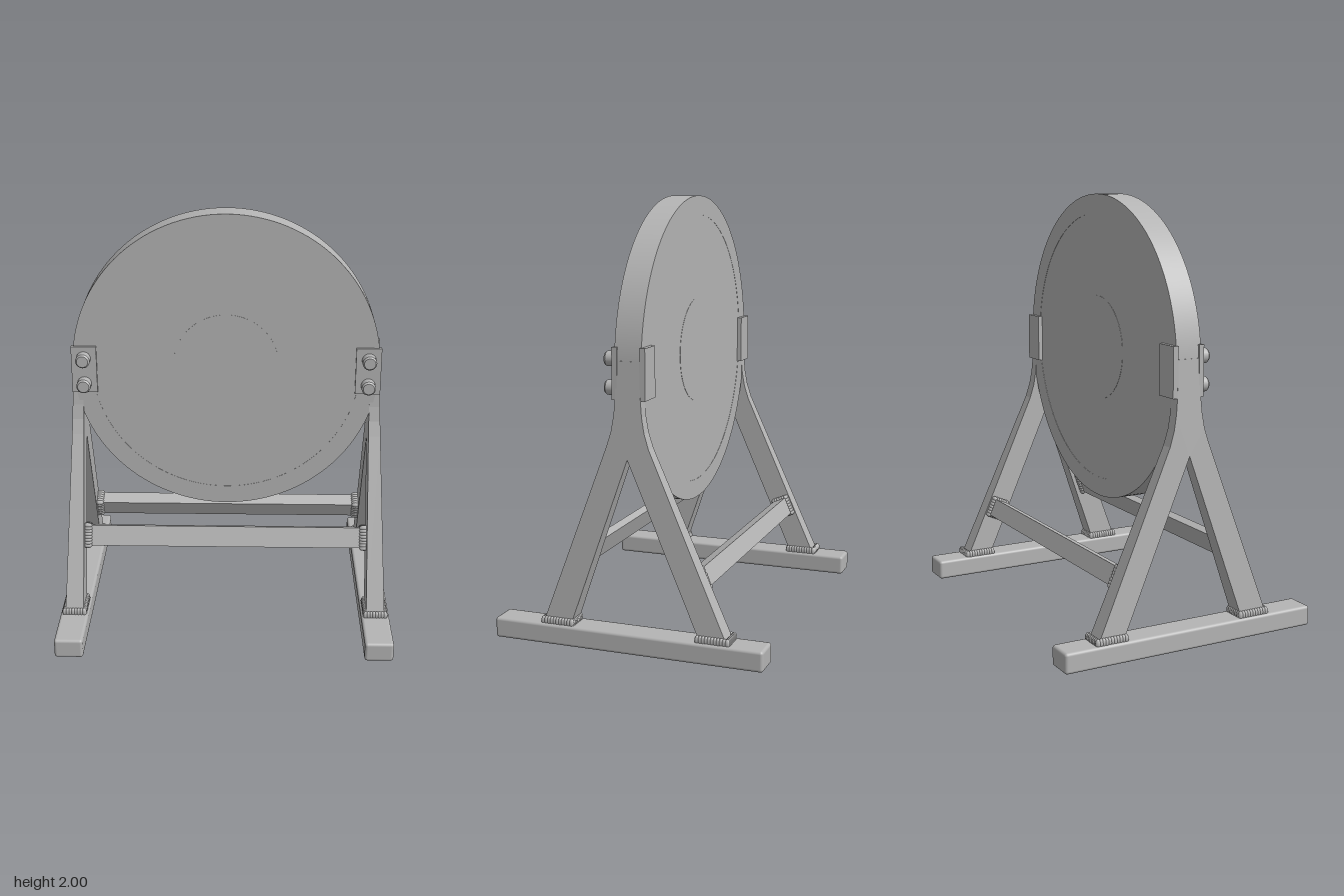
import * as THREE from 'three';
import { mergeGeometries } from 'three/addons/utils/BufferGeometryUtils.js';
import { RoundedBoxGeometry } from 'three/addons/geometries/RoundedBoxGeometry.js';

const steel = new THREE.MeshStandardMaterial({ color: 0xb4b4b4 });
steel.name = 'grey steel';

function add(parent, name, geometry, x = 0, y = 0, z = 0) {
  const mesh = new THREE.Mesh(geometry, steel);
  mesh.name = name;
  mesh.position.set(x, y, z);
  parent.add(mesh);
  return mesh;
}

// Solid of revolution with hard edges: each profile segment is its own lathe
function hardLathe(points, segments) {
  const parts = [];
  for (let i = 0; i < points.length - 1; i++) {
    const pair = [points[i], points[i + 1]].map(p => new THREE.Vector2(...p));
    parts.push(new THREE.LatheGeometry(pair, segments));
  }
  return mergeGeometries(parts).rotateX(Math.PI / 2);
}

// Rippled weld bead around a rectangular joint, lying in the local XZ plane
function weldGeometry(w, d, size) {
  const beads = [];
  const walk = (length, place) => {
    const n = Math.max(2, Math.round(length / (size * 0.85)));
    for (let i = 0; i < n; i++) {
      const [x, z] = place((i / n - 0.5) * length);
      beads.push(new THREE.SphereGeometry(size, 8, 6).scale(0.75, 1.35, 0.75).translate(x, 0, z));
    }
  };
  walk(w, t => [t, -d / 2]);
  walk(d, t => [w / 2, t]);
  walk(w, t => [-t, d / 2]);
  walk(d, t => [-w / 2, -t]);
  return mergeGeometries(beads);
}

// A-shaped leg pair, outlined in z and y, with the outer face leaning inwards
function legGeometry(side) {
  const outline = [
    [-0.477, 0.08], [-0.352, 0.08], [0, 0.87], [0.275, 0.08], [0.41, 0.08],
    [0.1, 0.92], [0.078, 0.99], [0.066, 1.06], [0.059, 1.14], [0.056, 1.3],
    [-0.056, 1.3], [-0.059, 1.14], [-0.066, 1.06], [-0.078, 0.99], [-0.1, 0.92],
  ].map(p => new THREE.Vector2(...p));
  const geo = new THREE.ExtrudeGeometry(new THREE.Shape(outline), { depth: 1, bevelEnabled: false });
  geo.rotateY(-Math.PI / 2);
  const pos = geo.attributes.position;
  for (let i = 0; i < pos.count; i++) {
    const isOuter = (pos.getX(i) < -0.5) === (side < 0);
    const outer = 0.776 - 0.037 * (pos.getY(i) - 0.1);
    pos.setX(i, side * (isOuter ? outer : 0.688));
  }
  geo.computeVertexNormals();
  return geo;
}

export function createModel() {
  const model = new THREE.Group();
  model.name = 'discOnStand';

  // Round plate with faint concentric steps on both faces
  const R = 0.73, H = 0.0625, step = 0.0012;
  add(model, 'disc', hardLathe([
    [0, -H], [0.25, -H], [0.25, -H + step], [0.64, -H + step], [0.64, -H], [R, -H],
    [R, H], [0.64, H], [0.64, H - step], [0.25, H - step], [0.25, H], [0, H],
  ], 128), 0, 1.27, 0.0015);

  const boltProfile = [[0.034, 0], [0.034, 0.043], [0.027, 0.052], [0, 0.052]];

  for (const side of [-1, 1]) {
    const frame = new THREE.Group();
    frame.name = side > 0 ? 'leftFrame' : 'rightFrame';
    model.add(frame);

    add(frame, 'foot', new RoundedBoxGeometry(0.136, 0.095, 1.28, 3, 0.014), side * 0.733, 0.0475, 0);
    add(frame, 'legs', legGeometry(side));

    // Welds where the legs meet the foot
    for (const z of [0.333, -0.405]) {
      add(frame, 'footWeld', weldGeometry(0.094, 0.138, 0.017), side * 0.732, 0.103, z);
    }

    // Clamp plates on both faces of the disc, bolted from the front
    add(frame, 'frontClamp', new THREE.BoxGeometry(0.12, 0.23, 0.024), side * 0.676, 1.245, 0.063);
    add(frame, 'backClamp', new THREE.BoxGeometry(0.12, 0.23, 0.026), side * 0.676, 1.245, -0.068);
    for (const y of [1.175, 1.302]) {
      const bolt = hardLathe(boltProfile, 24);
      // The profile runs along y, which hardLathe turns to face +z
      add(frame, 'bolt', bolt, side * 0.677, y, 0.074);
    }
  }

  // Crossbars tilted to match the legs, with welds at both ends
  const bars = [
    { name: 'frontCrossbar', y: 0.425, z: 0.206, long: 0.1, thick: 0.038, tilt: -0.35 },
    { name: 'backCrossbar', y: 0.34, z: -0.306, long: 0.088, thick: 0.07, tilt: 0.42 },
  ];
  for (const b of bars) {
    const group = new THREE.Group();
    group.name = b.name;
    group.position.set(0, b.y, b.z);
    group.rotation.x = b.tilt;
    model.add(group);
    add(group, 'bar', new THREE.BoxGeometry(1.39, b.long, b.thick));
    for (const side of [-1, 1]) {
      const weld = weldGeometry(b.long, b.thick, 0.017).rotateZ(Math.PI / 2);
      add(group, 'barWeld', weld, side * 0.676, 0, 0);
    }
  }

  return model;
}
